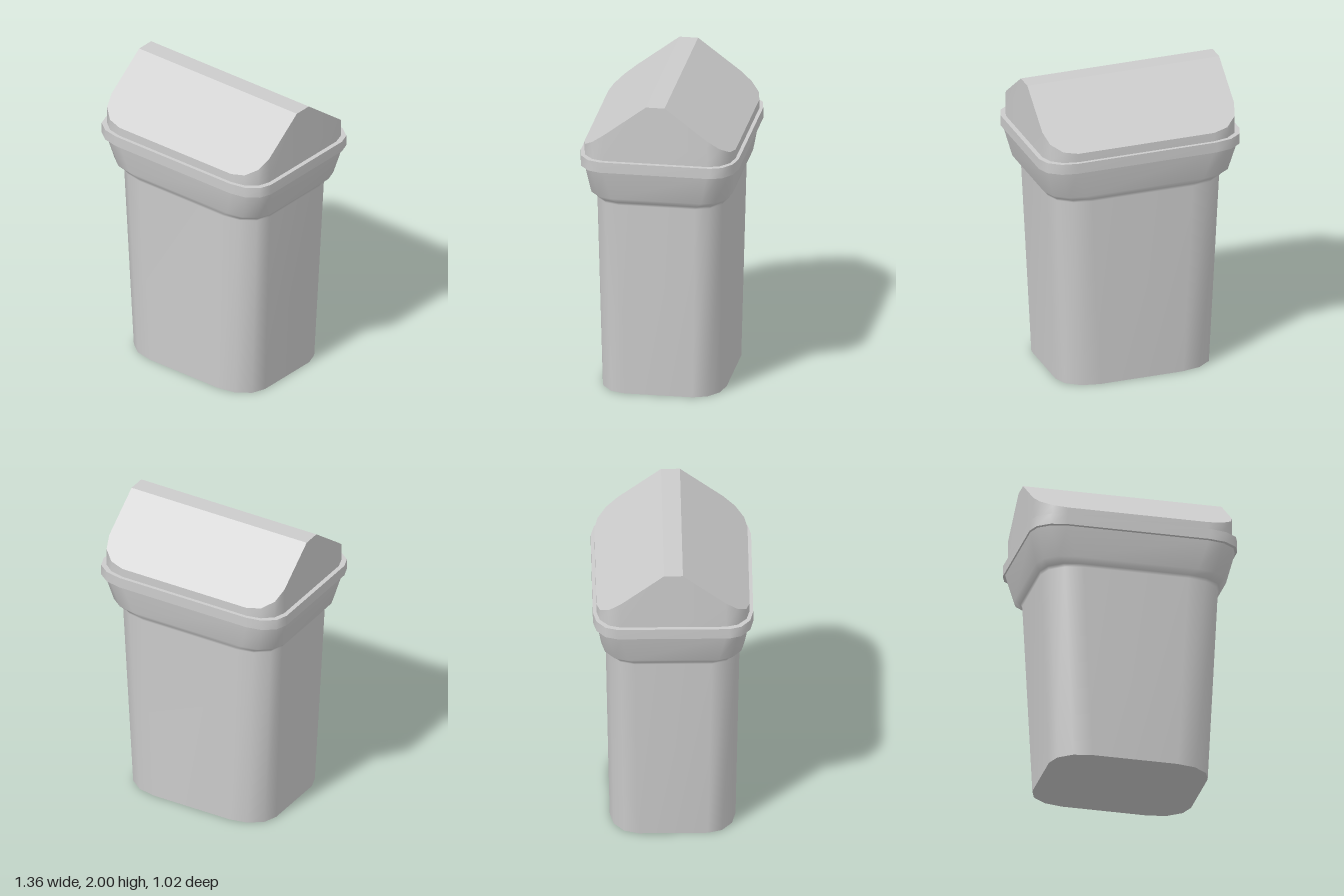
import * as THREE from 'three';

const material = new THREE.MeshStandardMaterial({ color: 0xcccccc });

// Rounded rectangle: half sizes x, z and corner radii rx, rz, three facets per corner
function outline(x, z, rx, rz) {
  const points = [];
  for (let corner = 0; corner < 4; corner++) {
    const sx = corner === 0 || corner === 3 ? 1 : -1;
    const sz = corner < 2 ? 1 : -1;
    for (let i = 0; i <= 3; i++) {
      const a = (corner + i / 3) * Math.PI / 2;
      points.push([sx * (x - rx) + rx * Math.cos(a), sz * (z - rz) + rz * Math.sin(a)]);
    }
  }
  return points;
}

const atHeight = (points, y) => points.map(([x, z]) => new THREE.Vector3(x, y, z));

function addMesh(parent, name, vertices, index) {
  const geometry = new THREE.BufferGeometry().setFromPoints(vertices);
  geometry.setIndex(index);
  geometry.computeVertexNormals();
  const mesh = new THREE.Mesh(geometry, material);
  mesh.name = name;
  parent.add(mesh);
}

// Smooth wall through a stack of rings, from bottom to top
function addWall(parent, name, rings) {
  const n = rings[0].length, index = [];
  for (let r = 0; r < rings.length - 1; r++) {
    for (let i = 0; i < n; i++) {
      const a = r * n + i, b = r * n + (i + 1) % n;
      index.push(a, a + n, b, b, a + n, b + n);
    }
  }
  addMesh(parent, name, rings.flat(), index);
}

// Flat convex face with hard edges
function addFace(parent, name, points, down = false) {
  const index = [];
  for (let i = 1; i < points.length - 1; i++) {
    if (down) index.push(0, i, i + 1);
    else index.push(0, i + 1, i);
  }
  addMesh(parent, name, points, index);
}

function group(parent, name) {
  const g = new THREE.Group();
  g.name = name;
  parent.add(g);
  return g;
}

export function createModel() {
  const model = new THREE.Group();
  model.name = 'swingTopBin';

  // Tapered bin with a flared collar: height, half width, half depth, corner radii
  const bin = group(model, 'bin');
  const rings = [
    [0, 0.52, 0.4, 0.24, 0.18],
    [1.3, 0.58, 0.425, 0.24, 0.18],
    [1.32, 0.588, 0.431, 0.235, 0.175],
    [1.355, 0.622, 0.456, 0.22, 0.165],
    [1.55, 0.67, 0.488, 0.21, 0.155],
  ].map(([y, ...size]) => atHeight(outline(...size), y));
  addWall(bin, 'binWall', rings);
  addFace(bin, 'binBase', rings[0], true);

  // Rim band
  const rim = group(model, 'rim');
  const rimOutline = outline(0.68, 0.51, 0.21, 0.155);
  const rimBottom = atHeight(rimOutline, 1.55), rimTop = atHeight(rimOutline, 1.62);
  addWall(rim, 'rimBand', [rimBottom, rimTop]);
  addFace(rim, 'rimTop', rimTop);
  addFace(rim, 'rimUnderside', rimBottom, true);

  // Gabled lid: upright walls cut off by two slopes and a flat ridge
  const lid = group(model, 'lid');
  const ridge = 0.06, halfWidth = 0.65, halfDepth = 0.487;
  const corners = outline(halfWidth, halfDepth, 0.19, 0.152);
  const lidOutline = [
    ...corners.slice(0, 8), [-halfWidth, ridge], [-halfWidth, -ridge],
    ...corners.slice(8), [halfWidth, -ridge], [halfWidth, ridge],
  ];
  const roofHeight = (z) => 2 - 0.322 * Math.max(0, Math.abs(z) - ridge) / (halfDepth - ridge);
  const lidTop = lidOutline.map(([x, z]) => new THREE.Vector3(x, roofHeight(z), z));
  addWall(lid, 'lidWall', [atHeight(lidOutline, 1.62), lidTop]);
  addFace(lid, 'frontFlap', [lidTop[19], ...lidTop.slice(0, 9)]);
  addFace(lid, 'backFlap', lidTop.slice(9, 19));
  addFace(lid, 'lidRidge', [lidTop[18], lidTop[19], lidTop[8], lidTop[9]]);

  return model;
}
